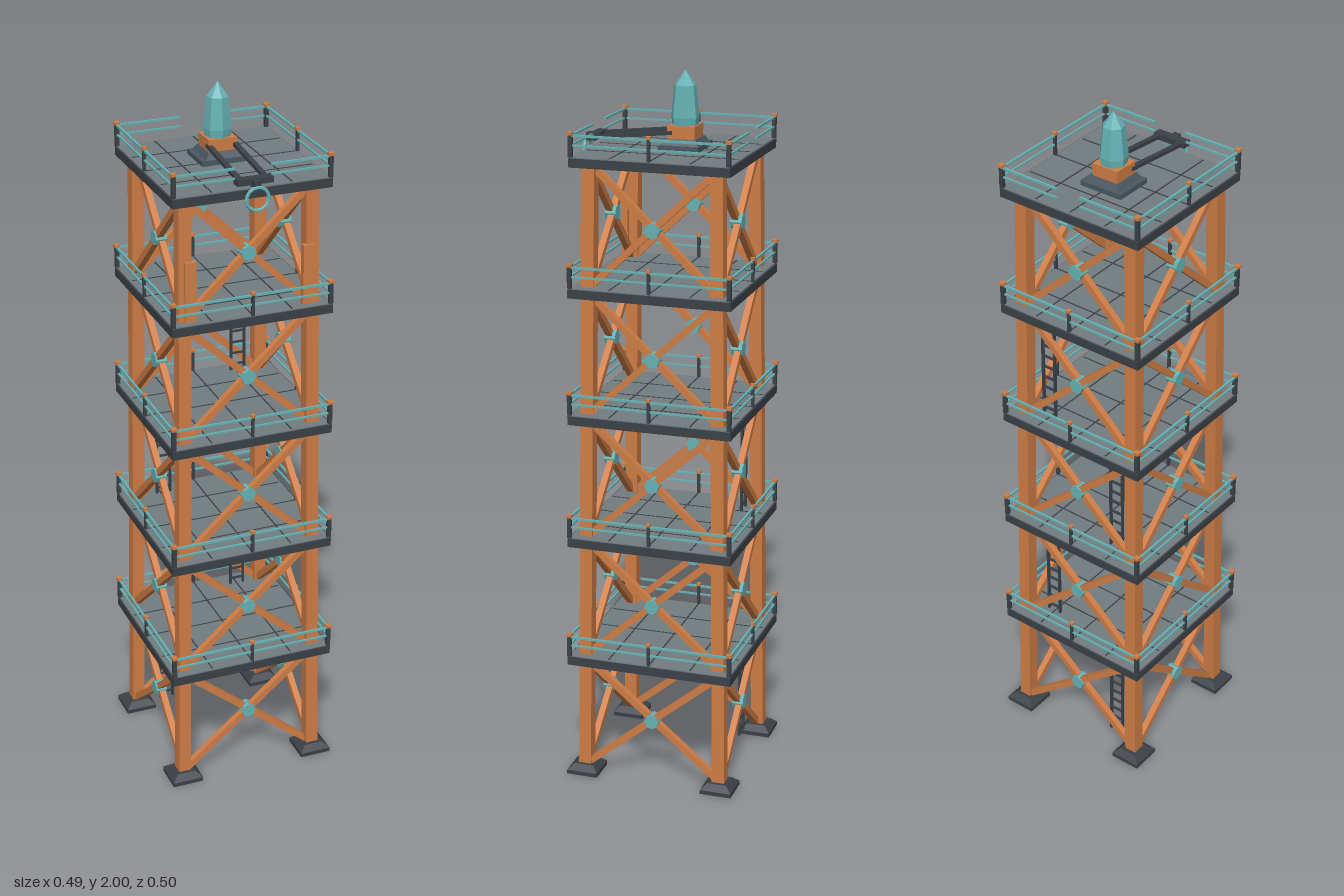
import * as THREE from 'three';

const mat = (name, color) => {
  const m = new THREE.MeshStandardMaterial({ color, flatShading: true });
  m.name = name;
  return m;
};

export function createModel() {
  const orange = mat('orange steel', 0xcf7d46);
  const dark = mat('dark steel', 0x3b4147);
  const deckGrey = mat('deck grey', 0x727c7f);
  const slate = mat('slate', 0x4c5861);
  const teal = mat('teal', 0x66b3b6);

  const root = new THREE.Group();
  root.name = 'latticeTower';
  const tower = new THREE.Group();
  tower.name = 'tower';
  tower.position.z = -0.004;
  root.add(tower);

  const add = (parent, name, geo, material, x = 0, y = 0, z = 0) => {
    const m = new THREE.Mesh(geo, material);
    m.name = name;
    m.position.set(x, y, z);
    parent.add(m);
    return m;
  };
  const box = (parent, name, material, w, h, d, x, y, z) =>
    add(parent, name, new THREE.BoxGeometry(w, h, d), material, x, y, z);
  // Square bar running between two points
  const beam = (parent, name, material, a, b, w, d = w) => {
    const p = new THREE.Vector3(...a), q = new THREE.Vector3(...b);
    const m = box(parent, name, material, w, p.distanceTo(q), d, 0, 0, 0);
    m.position.copy(p).add(q).multiplyScalar(0.5);
    m.quaternion.setFromUnitVectors(new THREE.Vector3(0, 1, 0), q.sub(p).normalize());
    return m;
  };
  // Square block narrowing towards the top
  const frustum = (parent, name, material, bottom, top, h, x, y, z) => {
    const g = new THREE.CylinderGeometry(top * Math.SQRT2, bottom * Math.SQRT2, h, 4);
    g.rotateY(Math.PI / 4);
    return add(parent, name, g, material, x, y, z);
  };
  const side = (parent, name, i) => {
    const g = new THREE.Group();
    g.name = name;
    g.rotation.y = i * Math.PI / 2;
    parent.add(g);
    return g;
  };

  const tops = [0.368, 0.724, 1.08, 1.436, 1.79];
  const halves = [0.24, 0.236, 0.232, 0.228, 0.222];
  const legAt = y => 0.2 - 0.023 * y / 1.78;

  // Legs and stepped feet
  for (const sx of [-1, 1]) for (const sz of [-1, 1]) {
    const a = legAt(0), b = legAt(1.77);
    beam(tower, 'leg', orange, [sx * a, 0.015, sz * a], [sx * b, 1.77, sz * b], 0.036);
    box(tower, 'footPlate', dark, 0.09, 0.012, 0.09, sx * 0.2, 0.006, sz * 0.2);
    frustum(tower, 'footBlock', dark, 0.045, 0.028, 0.016, sx * 0.2, 0.02, sz * 0.2);
  }
  // Short reinforcing posts on the upper front legs
  for (const sx of [-1, 1])
    box(tower, 'frontStub', orange, 0.032, 0.17, 0.018, sx * 0.167, 1.518, 0.197);

  // Crossed braces with a hub on every face
  tops.forEach((top, level) => {
    const y0 = level ? tops[level - 1] + 0.005 : 0.03, y1 = top - 0.03;
    const a = legAt(y0), b = legAt(y1), mid = (y0 + y1) / 2;
    for (let i = 0; i < 4; i++) {
      const f = side(tower, 'braceFace', i);
      for (const s of [-1, 1])
        beam(f, 'brace', orange, [-s * (a - 0.01), y0, a + s * 0.003], [s * (b - 0.01), y1, b + s * 0.003], 0.018);
      const hub = new THREE.CylinderGeometry(0.021, 0.021, 0.032, 8);
      hub.rotateX(Math.PI / 2);
      add(f, 'braceHub', hub, teal, 0, mid, legAt(mid));
    }
  });

  // Platforms with deck seams and railings
  tops.forEach((top, level) => {
    const h = halves[level], last = level === 4, r = h - 0.005;
    const p = new THREE.Group();
    p.name = 'platform';
    p.position.y = top;
    tower.add(p);
    box(p, 'platformFrame', dark, 2 * h, 0.024, 2 * h, 0, -0.015, 0);
    box(p, 'deck', deckGrey, 2 * h - 0.008, 0.004, 2 * h - 0.008, 0, -0.002, 0);
    for (const k of [-1, 0, 1]) {
      box(p, 'deckSeam', dark, 0.004, 0.001, 2 * h - 0.02, k * h / 2, 0.0005, 0);
      box(p, 'deckSeam', dark, 2 * h - 0.02, 0.001, 0.004, 0, 0.0005, k * h / 2);
    }
    for (let i = 0; i < 4; i++) {
      const f = side(p, 'railing', i);
      // Top level opens at the front and back
      const gap = last && i % 2 === 0 ? (i ? 0.036 : 0.05) : 0;
      const posts = gap ? [-r] : [-r, 0];
      for (const x of posts) {
        const w = x ? 0.011 : 0.008;
        box(f, 'railPost', dark, w, 0.06, w, x, 0.03, r);
        box(f, 'railPostCap', orange, w + 0.004, 0.008, w + 0.004, x, 0.063, r);
      }
      for (const s of [-1, 1]) {
        const len = r - gap, x = s * (gap + len / 2);
        box(f, 'topRail', teal, len, 0.006, 0.006, x, 0.057, r);
        box(f, 'midRail', teal, len, 0.005, 0.005, x, 0.031, r);
      }
    }
  });

  // Ladders alternating from side to side near the back
  for (let level = 0; level < 4; level++) {
    const x = level % 2 ? 0.115 : -0.115;
    const y0 = level ? tops[level - 1] + 0.01 : 0.025, y1 = tops[level] - 0.02;
    const l = new THREE.Group();
    l.name = 'ladder';
    l.position.set(x, y0, -0.17);
    tower.add(l);
    for (const s of [-1, 1])
      box(l, 'ladderRail', dark, 0.006, y1 - y0, 0.008, s * 0.02, (y1 - y0) / 2, 0);
    for (let y = 0.018; y < y1 - y0; y += 0.034)
      box(l, 'ladderRung', dark, 0.04, 0.005, 0.006, 0, y, 0);
  }

  // Beacon: base, pedestal and faceted crystal
  const beacon = new THREE.Group();
  beacon.name = 'beacon';
  beacon.position.set(0, 1.79, -0.034);
  root.add(beacon);
  box(beacon, 'beaconBase', slate, 0.13, 0.014, 0.112, 0, 0.007, 0);
  frustum(beacon, 'beaconBaseTop', slate, 0.052, 0.042, 0.016, 0, 0.022, 0);
  box(beacon, 'pedestal', orange, 0.08, 0.036, 0.076, 0, 0.046, 0);
  const profile = [[0, 0.06], [0.036, 0.06], [0.039, 0.085], [0.03, 0.17], [0, 0.21]];
  add(beacon, 'crystal', new THREE.LatheGeometry(profile.map(q => new THREE.Vector2(...q)), 7), teal);

  // Hoist arm reaching over the front edge, with hanging ring
  const hoist = new THREE.Group();
  hoist.name = 'hoist';
  root.add(hoist);
  for (const s of [-1, 1])
    beam(hoist, 'hoistArm', dark, [s * 0.036, 1.836, -0.01], [s * 0.036, 1.812, 0.222], 0.014, 0.01);
  box(hoist, 'hoistBracket', dark, 0.1, 0.016, 0.026, 0, 1.812, 0.218);
  box(hoist, 'hoistHead', dark, 0.02, 0.016, 0.02, 0, 1.81, 0.236);
  beam(hoist, 'hoistHanger', dark, [0, 1.812, 0.236], [0, 1.796, 0.244], 0.01);
  add(hoist, 'hoistRing', new THREE.TorusGeometry(0.031, 0.005, 6, 16), teal, 0, 1.77, 0.245);
  return root;
}
